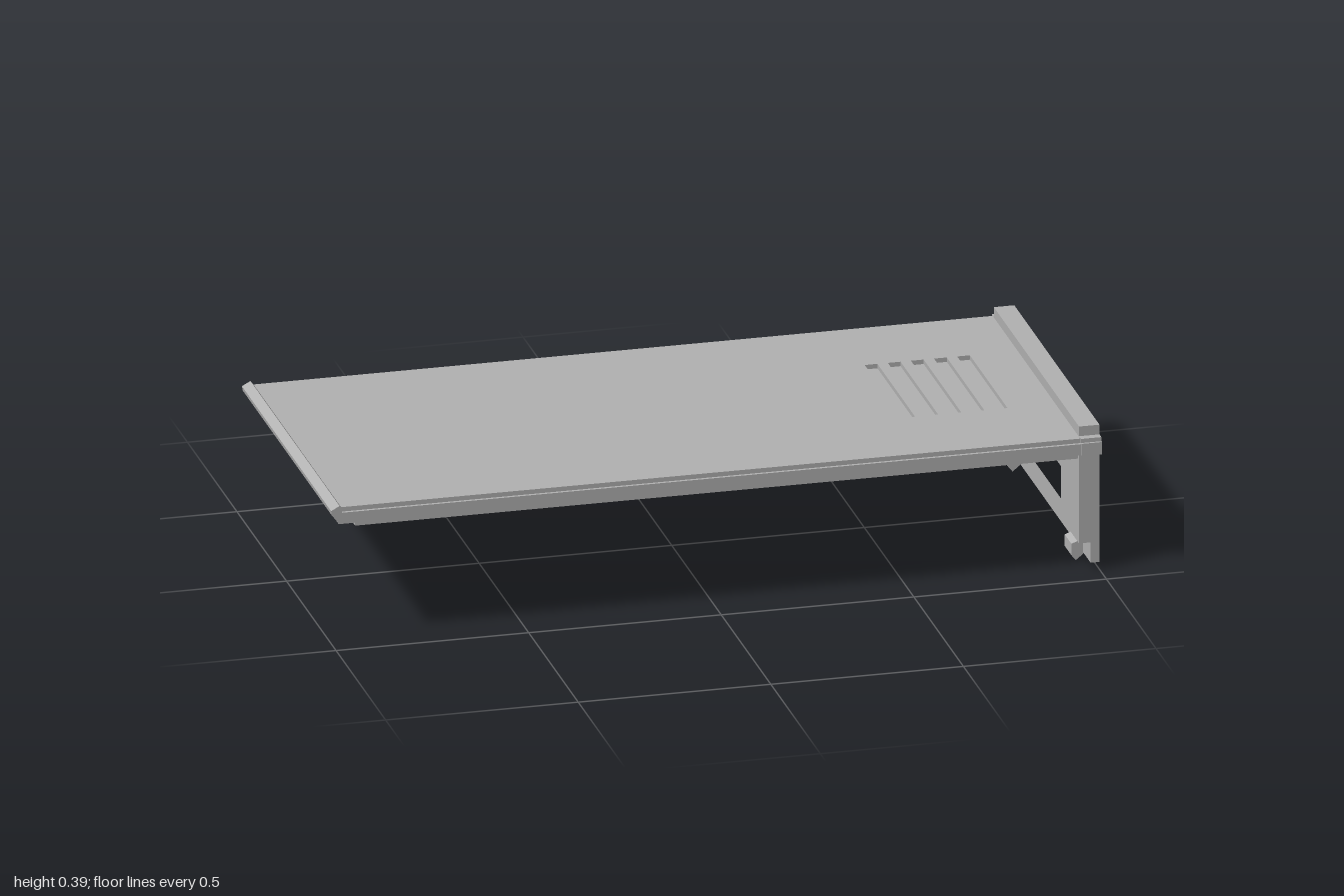
import * as THREE from 'three';

const shell = new THREE.MeshStandardMaterial({ color: 0xb2b2b2 });
shell.name = 'shell grey';

export function createModel() {
  const model = new THREE.Group();
  model.name = 'slidingCover';

  const add = (name, geometry) => {
    const mesh = new THREE.Mesh(geometry, shell);
    mesh.name = name;
    model.add(mesh);
    return mesh;
  };
  // Box given by its limits on each axis
  const box = (name, x0, x1, y0, y1, z0, z1) => {
    const g = new THREE.BoxGeometry(x1 - x0, y1 - y0, z1 - z0);
    g.translate((x0 + x1) / 2, (y0 + y1) / 2, (z0 + z1) / 2);
    return add(name, g);
  };
  const points = (list) => list.map(([a, b]) => new THREE.Vector2(a, b));
  const extrude = (shape, depth) =>
    new THREE.ExtrudeGeometry(shape, { depth, bevelEnabled: false });

  // Profile in x, y drawn out along z
  const alongZ = (name, list, z0, z1) =>
    add(name, extrude(new THREE.Shape(points(list)), z1 - z0).translate(0, 0, z0));

  // Outline in z, y with one hole, drawn out along x
  const alongX = (name, outline, hole, x0, x1) => {
    const shape = new THREE.Shape(points(outline.map(([z, y]) => [-z, y])));
    if (hole) shape.holes.push(new THREE.Path(points(hole.map(([z, y]) => [-z, y]))));
    const g = extrude(shape, x1 - x0).rotateY(Math.PI / 2).translate(x0, 0, 0);
    return add(name, g);
  };
  const rect = (z, y0, y1) => [[-z, y0], [z, y0], [z, y1], [-z, y1]];

  // Cover plate: lower layer with stepped long edges
  box('plateBase', -0.98, 0.95, 0.32, 0.35, -0.45, 0.45);

  // Upper layer with the sunken grip slots
  const top = new THREE.Shape(points([[-0.98, -0.442], [0.95, -0.442], [0.95, 0.442], [-0.98, 0.442]]));
  for (let i = 0; i < 5; i++) {
    const x = 0.55 + i * 0.06;
    top.holes.push(new THREE.Path(points([[x, -0.19], [x + 0.033, -0.19], [x + 0.033, 0.19], [x, 0.19]])));
  }
  add('plateTop', extrude(top, 0.012).rotateX(-Math.PI / 2).translate(0, 0.35, 0));

  // Pointed lip at the far end
  alongZ('endLip', [[-0.98, 0.322], [-0.972, 0.322], [-0.972, 0.362], [-0.978, 0.369], [-1, 0.357], [-0.998, 0.345]],
    -0.45, 0.45);

  // Locating ribs under the plate
  for (const s of [-1, 1]) {
    const z = s * 0.41;
    box('sideRib', -0.93, 0.95, 0.3, 0.32, z - 0.01, z + 0.01);
  }
  box('endRib', -0.93, -0.91, 0.3, 0.32, -0.4, 0.4);

  // End panel: thick inner wall and thin face with a sunken label area
  alongX('panelInnerWall', [[-0.43, 0.075], [-0.245, 0.075], [-0.245, 0.215], [0.245, 0.215], [0.245, 0.075],
    [0.43, 0.075], [0.43, 0.39], [-0.43, 0.39]], null, 0.947, 0.977);
  alongX('panelWall', rect(0.43, 0.02, 0.39), rect(0.245, 0.055, 0.215), 0.977, 0.994);
  alongX('panelFace', rect(0.43, 0.02, 0.39), [[-0.245, 0.055], [0.245, 0.055], [0.245, 0.215],
    [0.108, 0.215], [0.108, 0.352], [-0.108, 0.352], [-0.108, 0.215], [-0.245, 0.215]], 0.994, 1);

  for (const s of [-1, 1]) {
    // Corner tabs beside the panel
    const z0 = s > 0 ? 0.43 : -0.456;
    box('cornerTab', 0.947, 1, 0.32, 0.353, z0, z0 + 0.026);
    const z1 = s > 0 ? 0.43 : -0.435;
    box('cornerTabTop', 0.947, 1, 0.353, 0.364, s > 0 ? z1 : -0.45, s > 0 ? 0.45 : -0.43);
    // Snap hooks at the foot of the panel
    alongZ('snapHook', [[0.962, 0.003], [0.978, 0.016], [0.978, 0.08], [0.964, 0.08], [0.964, 0.052],
      [0.947, 0.045], [0.947, 0.014], [0.958, 0]], s * 0.319 - 0.034, s * 0.319 + 0.034);
  }
  return model;
}
